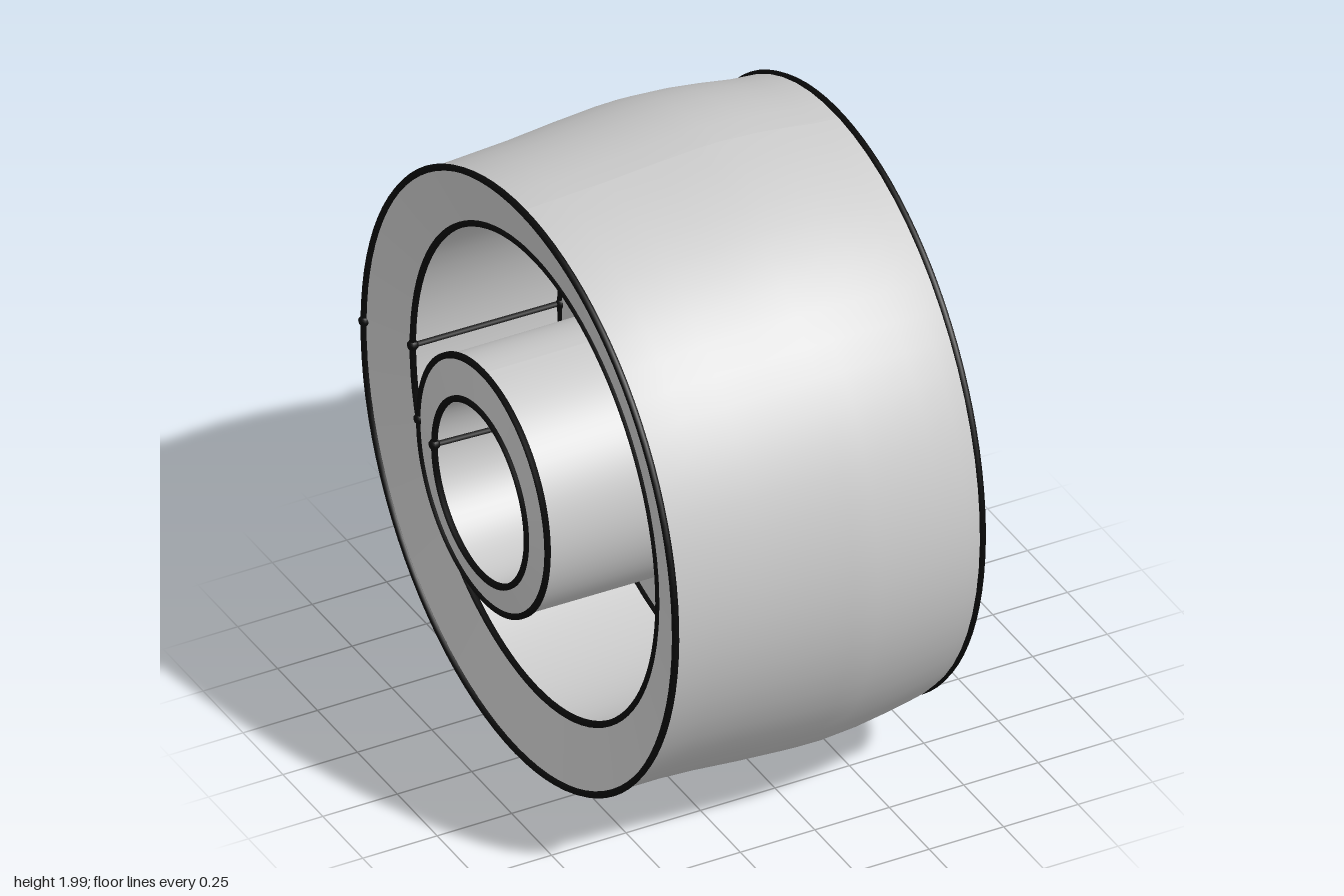
import * as THREE from 'three';

const SEG = 64;
const SEAM = -Math.PI / 2; // seam runs along the back (-z)

// A ring around the x axis; ty and tz tilt it off square.
const ring = (x, r, { ty = 0, tz = 0, cy = 0.997, cz = 0 } = {}) => (a) => {
  const y = r * Math.cos(a), z = r * Math.sin(a);
  return new THREE.Vector3(x + ty * y + tz * z, cy + y, cz + z);
};

// Smooth skin through a list of rings.
function loft(rings) {
  const pos = [], idx = [], n = SEG + 1;
  rings.forEach((f, i) => {
    for (let j = 0; j <= SEG; j++) {
      pos.push(...f((j / SEG) * Math.PI * 2).toArray());
      if (i < rings.length - 1 && j < SEG) {
        const a = i * n + j, b = a + n;
        idx.push(a, a + 1, b, a + 1, b + 1, b);
      }
    }
  });
  const g = new THREE.BufferGeometry();
  g.setAttribute('position', new THREE.Float32BufferAttribute(pos, 3));
  g.setIndex(idx);
  g.computeVertexNormals();
  return g;
}

export function createModel() {
  const group = new THREE.Group();
  const grey = new THREE.MeshStandardMaterial({ color: 0xcccccc });
  const black = new THREE.MeshStandardMaterial({ color: 0x0a0a0a });
  const add = (name, geometry, material) => {
    const mesh = new THREE.Mesh(geometry, material);
    mesh.name = name;
    group.add(mesh);
    return mesh;
  };

  // Boundary rings of the wheel
  const treadA = ring(-0.583, 0.963, { ty: 0.008, tz: 0.007, cy: 0.985, cz: -0.01 });
  const treadB = ring(0.48, 0.945, { ty: 0.016, tz: -0.02, cz: -0.007 });
  const rimB = ring(0.547, 0.746, { cy: 0.994, cz: -0.017 });
  const floorB = ring(0.18, 0.75, { cy: 0.994, cz: -0.015 });
  const hubFloorB = ring(0.18, 0.412, { cy: 1.004, cz: 0.012 });
  const hubB = ring(0.65, 0.417, { cy: 1.004, cz: 0.013 });
  const boreB = ring(0.72, 0.215, { cy: 0.988, cz: -0.003 });
  const boreA = ring(-0.72, 0.29, { cy: 0.993, cz: 0 });
  const hubA = ring(-0.7, 0.402, { cy: 1.0, cz: -0.02 });
  const hubFloorA = ring(-0.04, 0.404, { cy: 1.0, cz: -0.015 });
  const floorA = ring(-0.04, 0.76, { cy: 0.994, cz: -0.01 });
  const rimA = ring(-0.53, 0.77, { cy: 0.994, cz: -0.01 });

  // Crowned tread
  const crown = [[-0.45, 0.966], [-0.3, 0.973], [-0.15, 0.985], [0, 0.994],
    [0.08, 0.995], [0.2, 0.987], [0.3, 0.974], [0.4, 0.958]]
    .map(([x, r]) => ring(x, r, { cy: 1, cz: 0.004 }));
  const tread = [treadA, ...crown, treadB];
  add('tread', loft(tread), grey);

  // Remaining faces, following the section round from right to left
  const faces = {
    rightRimFace: [treadB, rimB],
    rightRimWall: [rimB, floorB],
    rightWeb: [floorB, hubFloorB],
    rightHub: [hubFloorB, hubB],
    rightHubFace: [hubB, boreB],
    bore: [boreB, boreA],
    leftHubFace: [boreA, hubA],
    leftHub: [hubA, hubFloorA],
    leftWeb: [hubFloorA, floorA],
    leftRimWall: [floorA, rimA],
    leftRimFace: [rimA, treadA],
  };
  for (const [name, rings] of Object.entries(faces)) add(name, loft(rings), grey);

  // Dark edge lines with a bead at each seam end
  const edges = [treadA, treadB, rimB, floorB, hubFloorB, hubB,
    boreB, boreA, hubA, hubFloorA, floorA, rimA];
  const bead = new THREE.SphereGeometry(0.018, 10, 8);
  for (const f of edges) {
    const pts = Array.from({ length: 32 }, (_, i) => f((i / 32) * Math.PI * 2));
    const curve = new THREE.CatmullRomCurve3(pts, true);
    add('edgeLine', new THREE.TubeGeometry(curve, 96, 0.011, 6, true), black);
    add('seamBead', bead, black).position.copy(f(SEAM));
  }

  // Seam lines along the round faces
  const seams = [tread, [rimB, floorB], [hubFloorB, hubB], [boreB, boreA],
    [hubA, hubFloorA], [floorA, rimA]];
  for (const s of seams) {
    const curve = new THREE.CatmullRomCurve3(s.map((f) => f(SEAM)));
    add('seamLine', new THREE.TubeGeometry(curve, 24, 0.01, 6), black);
  }
  return group;
}
